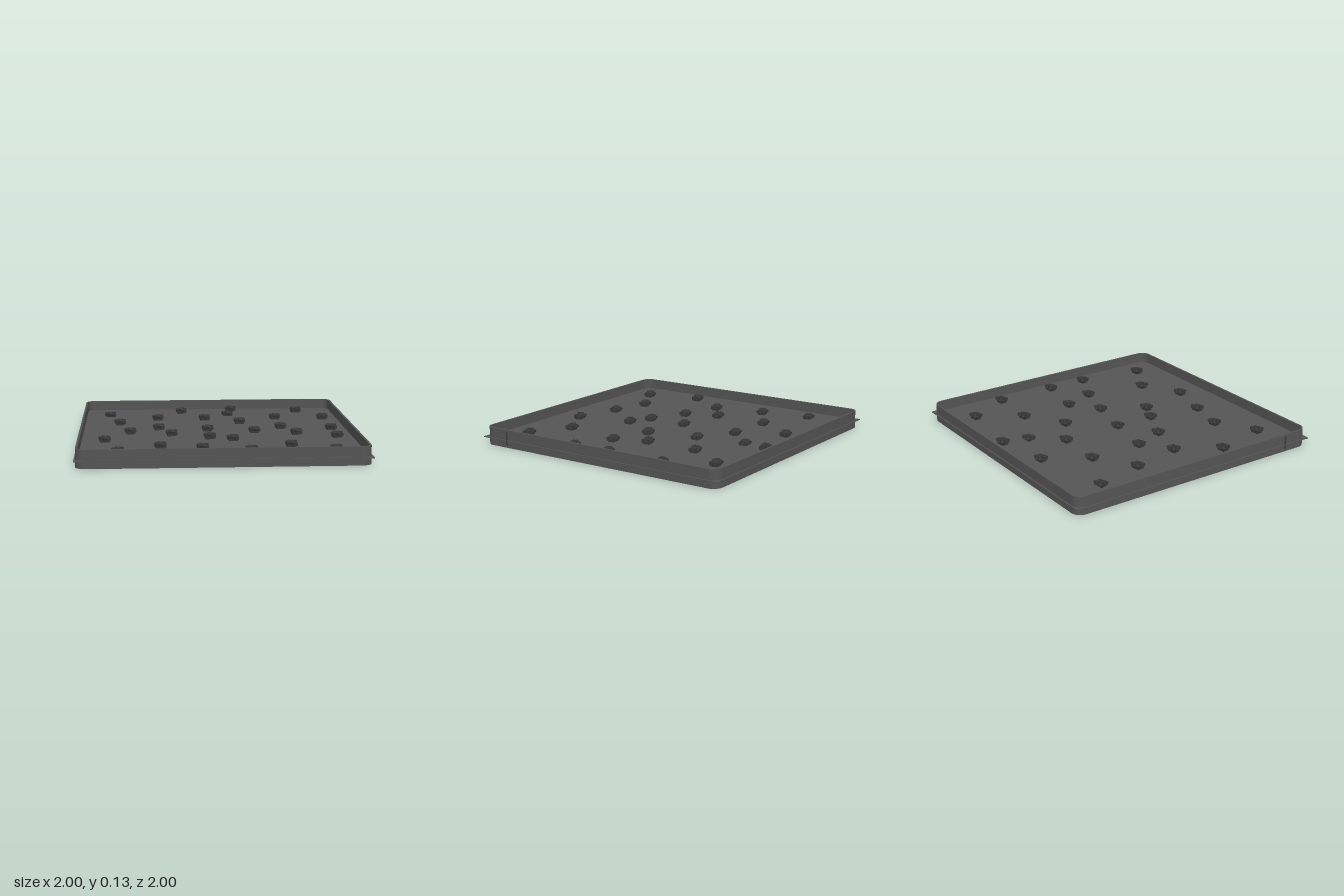
import * as THREE from 'three';
import { mergeGeometries } from 'three/addons/utils/BufferGeometryUtils.js';

const HEIGHT = 0.13, FLOOR_Y = 0.053;

function roundedSquare(Kind, half, r) {
  const s = new Kind(), q = Math.PI / 2;
  s.moveTo(-half + r, -half);
  s.lineTo(half - r, -half);
  s.absarc(half - r, -half + r, r, -q, 0);
  s.lineTo(half, half - r);
  s.absarc(half - r, half - r, r, 0, q);
  s.lineTo(-half + r, half);
  s.absarc(-half + r, half - r, r, q, 2 * q);
  s.lineTo(-half, -half + r);
  s.absarc(-half + r, -half + r, r, 2 * q, 3 * q);
  return s;
}

// One rough clump: a low core with small tilted chips on top
function clumpGeometry() {
  let seed = 7;
  const rand = () => (seed = (seed * 16807) % 2147483647) / 2147483647 - 0.5;
  const parts = [new THREE.BoxGeometry(0.062, 0.028, 0.048).translate(0, 0.014, 0)];
  for (let i = 0; i < 4; i++) {
    for (let j = 0; j < 3; j++) {
      const chip = new THREE.BoxGeometry(0.02, 0.024, 0.017);
      chip.rotateX(rand() * 0.9).rotateZ(rand() * 0.9).rotateY(rand() * 1.2);
      chip.translate((i - 1.5) * 0.02, 0.028 + rand() * 0.016, (j - 1) * 0.021);
      parts.push(chip);
    }
  }
  return mergeGeometries(parts).rotateY(0.1);
}

export function createModel() {
  const model = new THREE.Group();
  const trayGrey = new THREE.MeshStandardMaterial({ color: 0x555555 });
  const clumpGrey = new THREE.MeshStandardMaterial({ color: 0x3a3a3a });
  const add = (name, geometry, material) => {
    const mesh = new THREE.Mesh(geometry, material);
    mesh.name = name;
    model.add(mesh);
    return mesh;
  };

  // Thin wall with rounded corners, open above and below
  const outline = roundedSquare(THREE.Shape, 0.99, 0.07);
  outline.holes.push(roundedSquare(THREE.Path, 0.975, 0.055));
  const wall = new THREE.ExtrudeGeometry(outline, { depth: HEIGHT, bevelEnabled: false, curveSegments: 8 });
  add('wall', wall.rotateX(-Math.PI / 2), trayGrey);

  // Square floor sheet whose edge shows outside the wall
  add('floorSheet', new THREE.BoxGeometry(2, 0.006, 2), trayGrey).position.y = FLOOR_Y;

  // Small joint tabs on the two sides
  for (const side of [-1, 1]) {
    add('jointTab', new THREE.BoxGeometry(0.008, 0.1, 0.008), clumpGrey).position.set(side * 0.992, 0.065, 0.785);
  }

  // Clumps scattered over the floor, as x, z pairs
  const spots = [
    [-0.23, -0.79], [0.17, -0.86], [0.69, -0.79], [-0.79, -0.67], [0.13, -0.67],
    [-0.42, -0.49], [-0.06, -0.47], [0.49, -0.49], [0.86, -0.47], [-0.71, -0.31], [0.2, -0.31],
    [-0.42, -0.09], [-0.06, -0.02], [0.49, -0.09], [0.86, -0.02], [-0.63, 0.06], [0.28, 0.06],
    [-0.33, 0.15], [0.58, 0.15], [-0.06, 0.28], [0.86, 0.28], [-0.81, 0.36], [0.1, 0.36],
    [-0.42, 0.6], [0.49, 0.6], [-0.13, 0.67], [-0.71, 0.76], [0.2, 0.76], [0.78, 0.76],
  ];
  const clump = clumpGeometry();
  for (const [x, z] of spots) {
    // The two clumps in this row sink slightly through the sheet
    const sink = z === -0.67 ? 0.008 : 0;
    add('clump', clump, clumpGrey).position.set(x, FLOOR_Y + 0.002 - sink, z);
  }
  return model;
}
